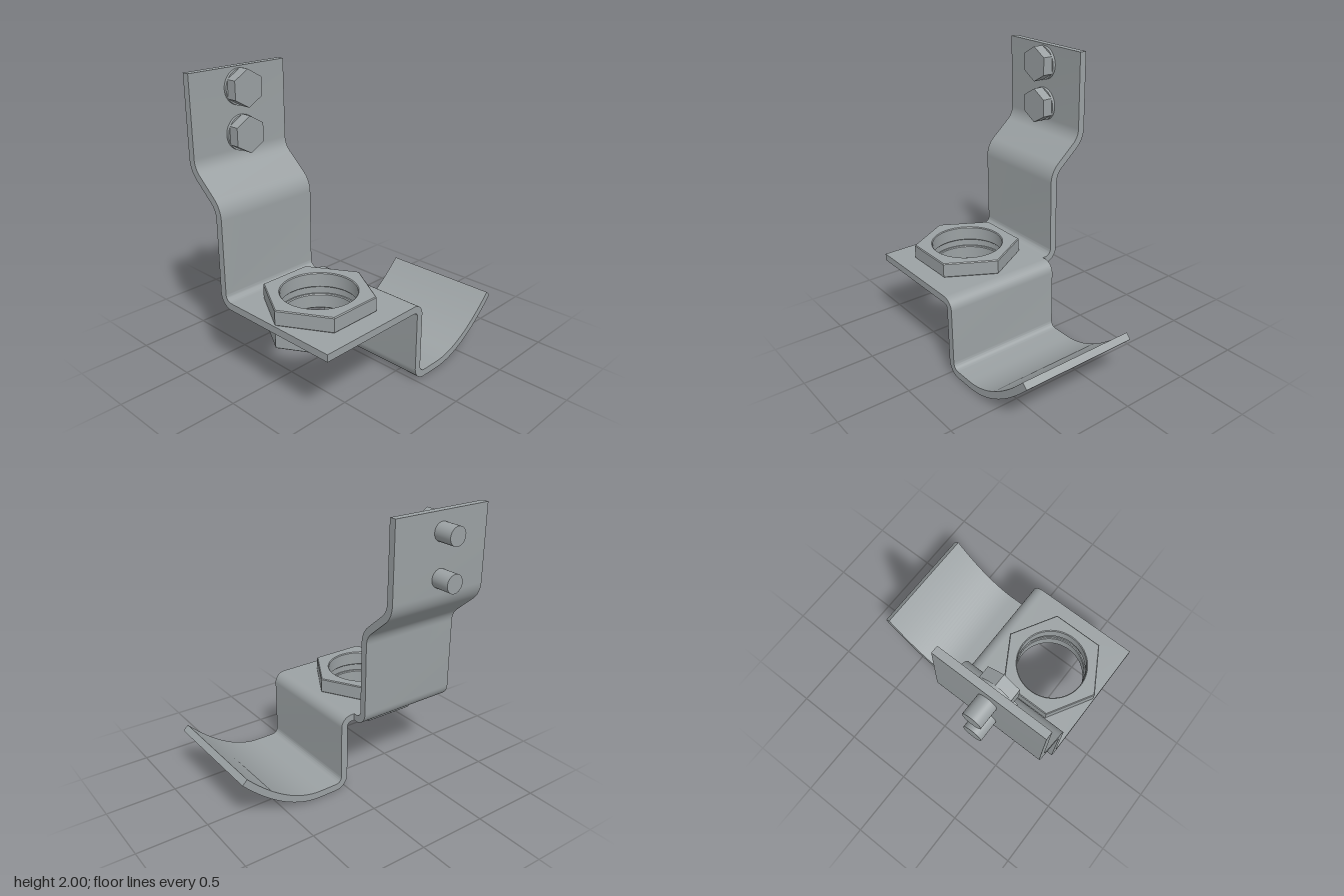
import * as THREE from 'three';
import { toCreasedNormals } from 'three/addons/utils/BufferGeometryUtils.js';

const steel = new THREE.MeshStandardMaterial({ color: 0x9ba1a3 });
steel.name = 'steel grey';

const THICK = 0.05;             // sheet thickness
const HOLE = { x: 0.215, z: 0.44 };
const V = (x, y) => new THREE.Vector2(x, y);

function part(name, geometry) {
  const mesh = new THREE.Mesh(toCreasedNormals(geometry, 0.5), steel);
  mesh.name = name;
  return mesh;
}

// Polyline [x, y, bendRadius] with its corners rounded into arcs
function filleted(corners, steps = 10) {
  const out = [];
  corners.forEach(([x, y, r], i) => {
    const c = V(x, y);
    if (!r) return out.push(c);
    const d1 = c.clone().sub(V(...corners[i - 1])).normalize();
    const d2 = V(...corners[i + 1]).sub(c).normalize();
    const turn = Math.atan2(d1.cross(d2), d1.dot(d2));
    const s = Math.sign(turn);
    const start = c.clone().addScaledVector(d1, -r * Math.tan(Math.abs(turn) / 2));
    const centre = start.clone().add(V(-d1.y, d1.x).multiplyScalar(s * r));
    for (let k = 0; k <= steps; k++) {
      out.push(start.clone().rotateAround(centre, turn * k / steps));
    }
  });
  return out;
}

// Bent sheet: offset a centreline to both sides and extrude it
function bentSheet(line, depth) {
  const a = [], b = [];
  line.forEach((p, i) => {
    const prev = line[Math.max(i - 1, 0)], next = line[Math.min(i + 1, line.length - 1)];
    const d1 = i ? p.clone().sub(prev).normalize() : next.clone().sub(p).normalize();
    const d2 = i < line.length - 1 ? next.clone().sub(p).normalize() : d1.clone();
    const t = d1.clone().add(d2).normalize();
    const n = V(-t.y, t.x).multiplyScalar(THICK / 2 / t.dot(d1));
    a.push(p.clone().add(n));
    b.unshift(p.clone().sub(n));
  });
  return new THREE.ExtrudeGeometry(new THREE.Shape([...a, ...b]), { depth, bevelEnabled: false });
}

function roundHole(shape, radius) {
  shape.holes.push(new THREE.Path().absarc(HOLE.x, -HOLE.z, radius, 0, Math.PI * 2, true));
  return shape;
}

// Hexagonal ring nut lying flat with its points along z
function ringNut(name, y) {
  const bevel = 0.006, height = 0.105;
  const pts = [];
  for (let i = 0; i < 6; i++) {
    const a = Math.PI / 6 + i * Math.PI / 3;
    pts.push(V(HOLE.x + 0.372 * Math.cos(a), -HOLE.z + 0.372 * Math.sin(a)));
  }
  const geo = new THREE.ExtrudeGeometry(roundHole(new THREE.Shape(pts), 0.248), {
    depth: height - 2 * bevel, curveSegments: 48, bevelSegments: 1,
    bevelThickness: bevel, bevelSize: bevel, bevelOffset: -bevel,
  });
  geo.rotateX(-Math.PI / 2).translate(0, y + bevel, 0);
  return part(name, geo);
}

// Cylinder lying along x between two positions
function alongX(name, radius, x0, x1, sides) {
  const geo = new THREE.CylinderGeometry(radius, radius, x1 - x0, sides, 1, false, Math.PI / 2);
  geo.rotateZ(Math.PI / 2).translate((x0 + x1) / 2, 0, 0);
  return part(name, geo);
}

export function createModel() {
  const model = new THREE.Group();
  model.name = 'mountingBracket';

  // Flat shelf with the round opening
  const outline = new THREE.Shape([V(-0.18, -0.82), V(0.672, -0.82), V(0.672, -0.045), V(-0.18, -0.045)]);
  const shelf = new THREE.ExtrudeGeometry(roundHole(outline, 0.262), {
    depth: THICK, bevelEnabled: false, curveSegments: 48,
  });
  shelf.rotateX(-Math.PI / 2).translate(0, 0.52, 0);
  model.add(part('shelf', shelf));

  // Upright arm, joggled outwards to the bolted tab
  const arm = bentSheet(filleted([
    [-0.18, 0.545], [-0.273, 0.545, 0.07], [-0.273, 1.19, 0.15],
    [-0.515, 1.40, 0.15], [-0.515, 2],
  ]), 0.755);
  arm.translate(0, 0, 0.065);
  model.add(part('uprightArm', arm));

  // Rear leg dropping to the foot, then sweeping up as a curved lip
  const legLine = filleted([
    [0.045, 0.545], [-0.015, 0.545, 0.055], [-0.015, 0.027, 0.07], [-0.22, 0.027],
  ]);
  const lip = new THREE.QuadraticBezierCurve(V(-0.22, 0.027), V(-0.49, 0.027), V(-0.804, 0.352));
  const leg = bentSheet([...legLine, ...lip.getPoints(24).slice(1)], 0.852);
  leg.rotateY(-Math.PI / 2).translate(0.672, 0, 0);
  model.add(part('rearLegAndLip', leg));

  // Ring nuts clamping the shelf
  model.add(ringNut('upperNut', 0.57), ringNut('lowerNut', 0.413));

  // Two bolts through the tab
  for (const y of [1.57, 1.868]) {
    const bolt = new THREE.Group();
    bolt.name = y < 1.7 ? 'lowerBolt' : 'upperBolt';
    bolt.add(
      alongX('boltShank', 0.064, -0.677, -0.5, 32),
      alongX('boltCollar', 0.119, -0.49, -0.47, 40),
      alongX('boltHead', 0.123, -0.47, -0.396, 6),
    );
    bolt.position.set(0, y, HOLE.z);
    model.add(bolt);
  }
  return model;
}
